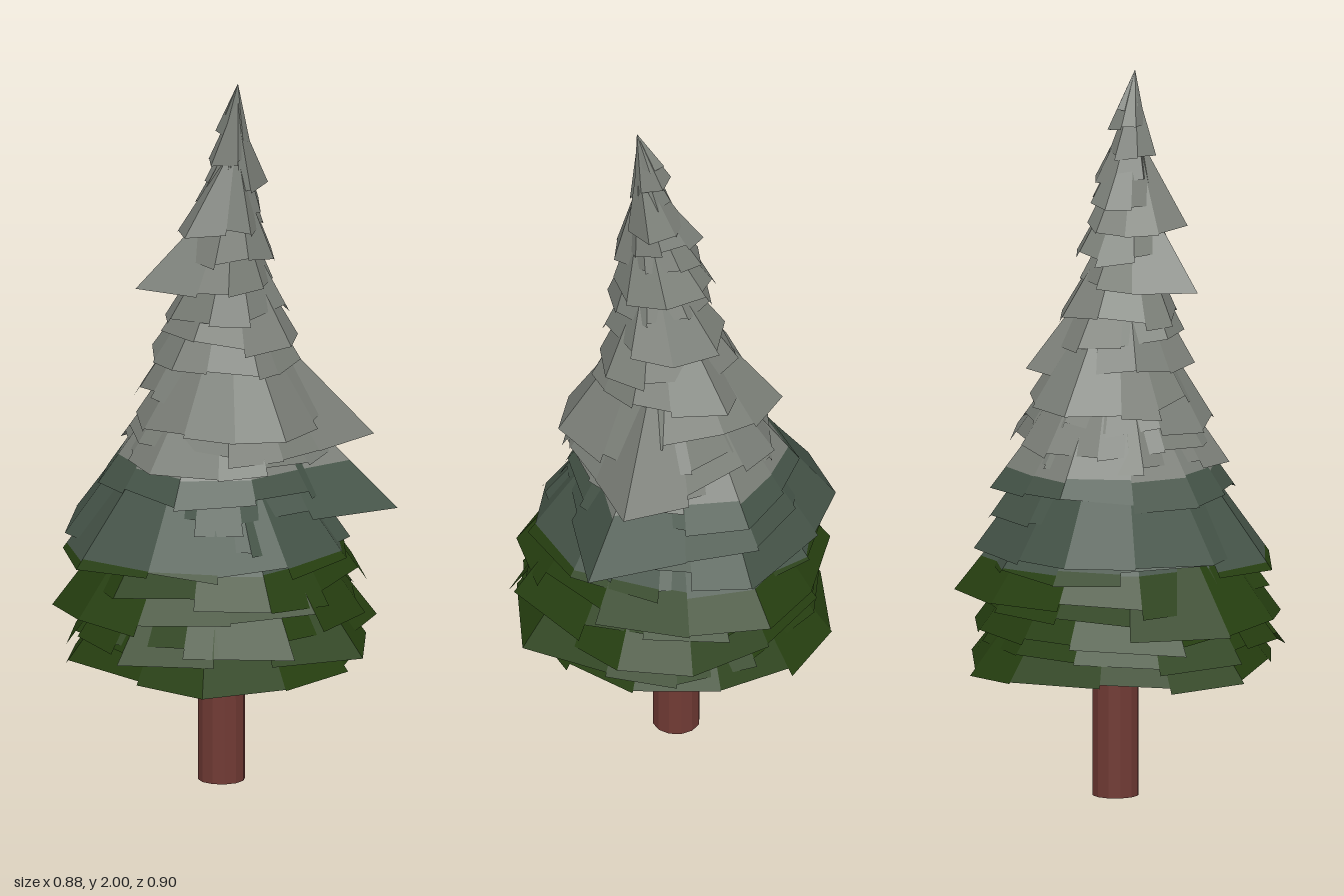
import * as THREE from 'three';

const flat = (name, color) => new THREE.MeshStandardMaterial({
  name, color, flatShading: true, side: THREE.DoubleSide,
});

// Small seeded generator, returns -1..1
function makeJitter(seed) {
  return () => {
    seed = (seed * 16807) % 2147483647;
    return (seed / 2147483647) * 2 - 1;
  };
}

// Branch tiers from the ground up: [rim height, radius, centre x, centre z, tip x, tip z]
const TIERS = [
  [0.36, 0.41, 0.01, -0.02, -0.31, 0.35],
  [0.42, 0.42, 0.00, 0.02, 0.16, 0.455],
  [0.46, 0.42, 0.01, 0.00, 0.44, 0.04],
  [0.52, 0.42, -0.01, 0.00, -0.44, -0.04],
  [0.58, 0.42, 0.01, 0.00, 0.43, -0.18],
  [0.66, 0.40, -0.02, -0.01, -0.44, -0.05],
  [0.71, 0.39, 0.00, -0.04, 0.03, -0.45],
  [0.78, 0.35, 0.02, -0.02, 0.38, 0.32],
  [0.86, 0.32, 0.02, -0.02, 0.34, -0.14],
  [0.93, 0.29, 0.02, 0.01, -0.28, 0.07],
  [0.97, 0.29, 0.03, 0.01, 0.375, 0.22],
  [1.03, 0.27, 0.02, 0.03, 0.00, 0.32],
  [1.10, 0.24, 0.03, -0.02, 0.08, -0.29],
  [1.19, 0.21, 0.02, 0.01, 0.25, -0.10],
  [1.26, 0.19, 0.02, 0.02, 0.10, 0.21],
  [1.33, 0.17, 0.02, 0.02, 0.19, 0.04],
  [1.42, 0.15, -0.01, 0.03, -0.23, -0.06],
  [1.50, 0.14, 0.01, 0.03, 0.15, 0.05],
  [1.58, 0.12, -0.01, 0.04, -0.16, 0.07],
  [1.64, 0.10, 0.01, 0.04, 0.03, -0.08],
  [1.70, 0.08, 0.02, 0.05, 0.11, 0.09],
  [1.77, 0.06, 0.00, 0.06, -0.07, 0.07],
  [1.84, 0.05, 0.01, 0.06, 0.06, 0.04],
  [1.90, 0.03, 0.01, 0.07, 0.03, 0.03],
];

// Ragged cone: each panel runs from the apex to its own rim length
function tierPanels([y, r, cx, cz, tx, tz], jitter) {
  const sides = r > 0.2 ? 11 : r > 0.09 ? 8 : 6;
  const peakY = Math.min(2, y + 0.13 + r * 1.05);
  const lean = THREE.MathUtils.smoothstep(peakY, 1.2, 2);
  const apex = new THREE.Vector3(cx * (1 - lean), peakY, THREE.MathUtils.lerp(cz, 0.1, lean));
  const start = Math.atan2(tz - cz, tx - cx);
  const rim = [new THREE.Vector3(tx, y, tz)];
  for (let i = 1; i < sides; i++) {
    const a = start + ((i + jitter() * 0.2) / sides) * Math.PI * 2;
    const rr = r * (1 + jitter() * 0.06);
    rim.push(new THREE.Vector3(cx + rr * Math.cos(a), y + jitter() * 0.012, cz + rr * Math.sin(a)));
  }
  return rim.map((p, i) => {
    const next = rim[(i + 1) % sides];
    const nearTip = i === 0 || i === sides - 1;
    const k = nearTip ? 1 : 0.98 + jitter() * 0.045;
    return [apex, apex.clone().lerp(next, k), apex.clone().lerp(p, k)];
  });
}

// Part of a polygon above (sign 1) or below (sign -1) a height
function clip(poly, y, sign) {
  const out = [];
  poly.forEach((a, i) => {
    const b = poly[(i + 1) % poly.length];
    const da = (a.y - y) * sign, db = (b.y - y) * sign;
    if (da >= 0) out.push(a);
    if (da * db < 0) out.push(a.clone().lerp(b, da / (da - db)));
  });
  return out;
}

function addFan(points, poly) {
  for (let i = 1; i + 1 < poly.length; i++) points.push(poly[0], poly[i], poly[i + 1]);
}

export function createModel() {
  const tree = new THREE.Group();
  tree.name = 'snowyConifer';

  // Trunk
  const trunk = new THREE.Mesh(
    new THREE.CylinderGeometry(0.063, 0.065, 0.8, 12),
    flat('barkBrown', 0x703a34),
  );
  trunk.name = 'trunk';
  trunk.position.set(0.023, 0.4, -0.005);
  tree.add(trunk);

  // Foliage, divided by height into bare, frosted and snowy bands
  const jitter = makeJitter(4711);
  const bands = { lowerFoliage: [], frostedFoliage: [], snowyFoliage: [] };
  for (const tier of TIERS) {
    for (const panel of tierPanels(tier, jitter)) {
      const frost = 0.68 + jitter() * 0.01;
      const snow = 0.92 + jitter() * 0.012;
      const upper = clip(panel, frost, 1);
      addFan(bands.lowerFoliage, clip(panel, frost, -1));
      addFan(bands.frostedFoliage, clip(upper, snow, -1));
      addFan(bands.snowyFoliage, clip(upper, snow, 1));
    }
  }
  const materials = {
    lowerFoliage: flat('pineGreen', 0x263f10),
    frostedFoliage: flat('frostedGreen', 0x455448),
    snowyFoliage: flat('snowGrey', 0x7c8079),
  };
  for (const [name, points] of Object.entries(bands)) {
    const geometry = new THREE.BufferGeometry().setFromPoints(points);
    geometry.computeVertexNormals();
    const mesh = new THREE.Mesh(geometry, materials[name]);
    mesh.name = name;
    tree.add(mesh);
  }
  return tree;
}
